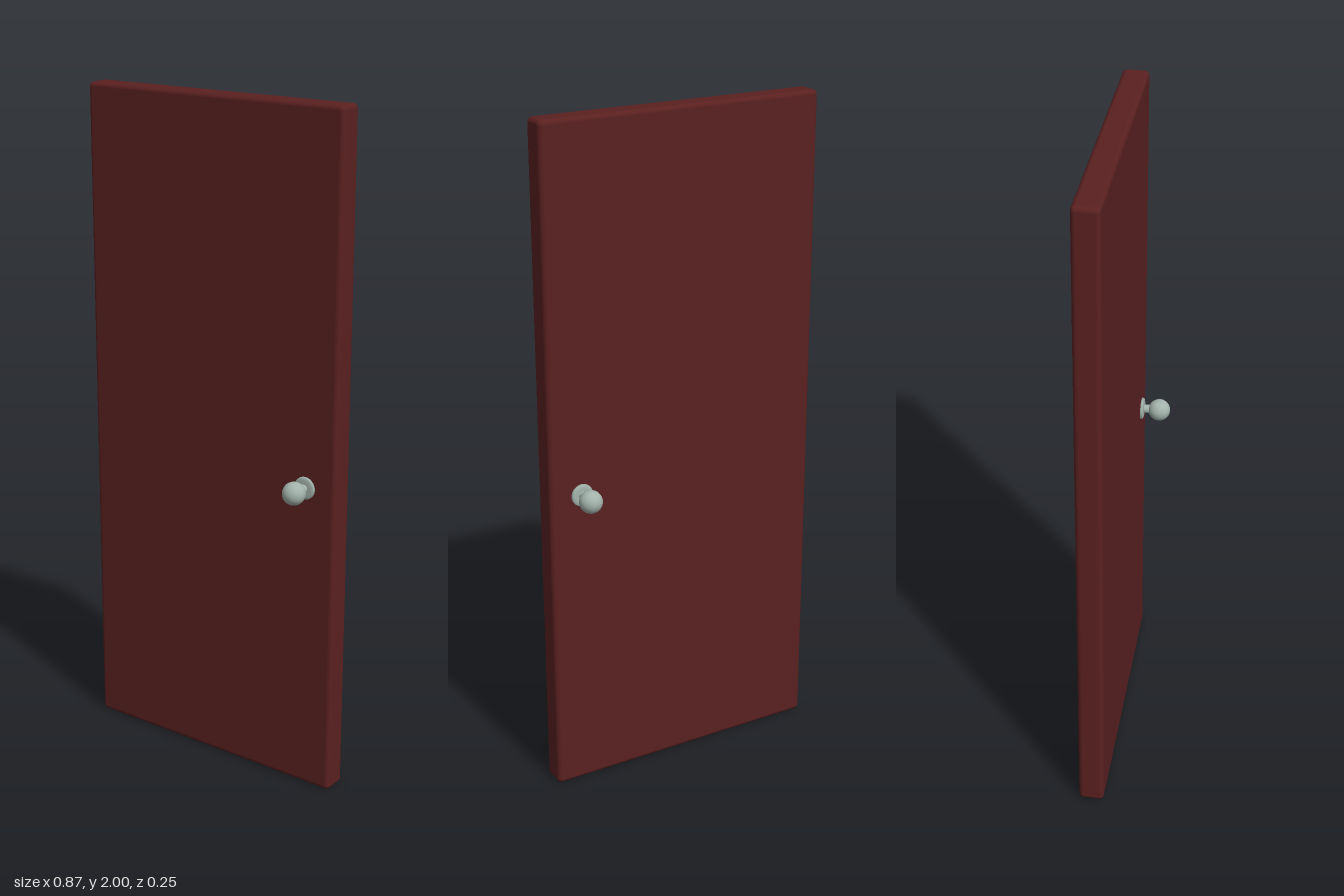
import * as THREE from 'three';
import { RoundedBoxGeometry } from 'three/addons/geometries/RoundedBoxGeometry.js';

export function createModel() {
  const model = new THREE.Group();
  model.name = 'door';
  const wood = new THREE.MeshStandardMaterial({ color: 0x5a2020 });
  const metal = new THREE.MeshStandardMaterial({ color: 0xa3b3ac });

  // Door slab with softened edges
  const slab = new THREE.Mesh(new RoundedBoxGeometry(0.868, 2, 0.076, 4, 0.014), wood);
  slab.name = 'doorSlab';
  slab.position.y = 1;
  model.add(slab);

  const add = (group, name, geometry, z) => {
    const mesh = new THREE.Mesh(geometry, metal);
    mesh.name = name;
    mesh.position.z = z;
    group.add(mesh);
  };

  // One handle on each face: rosette, stem and ball knob
  for (const side of [1, -1]) {
    const handle = new THREE.Group();
    handle.name = side > 0 ? 'frontHandle' : 'backHandle';
    const rosette = [[0, -0.004], [0.033, -0.004], [0.033, 0.006], [0.031, 0.008], [0.024, 0.01], [0, 0.01]];
    const plate = new THREE.LatheGeometry(rosette.map(([r, h]) => new THREE.Vector2(r, h)), 32);
    add(handle, 'rosette', plate.rotateX(Math.PI / 2), 0.037);
    add(handle, 'stem', new THREE.CylinderGeometry(0.013, 0.013, 0.04, 24).rotateX(Math.PI / 2), 0.06);
    add(handle, 'knob', new THREE.SphereGeometry(0.0335, 32, 20).rotateX(Math.PI / 2), 0.094);
    handle.position.set(0.335, 0.933, 0);
    if (side < 0) handle.rotation.y = Math.PI;
    model.add(handle);
  }
  return model;
}
